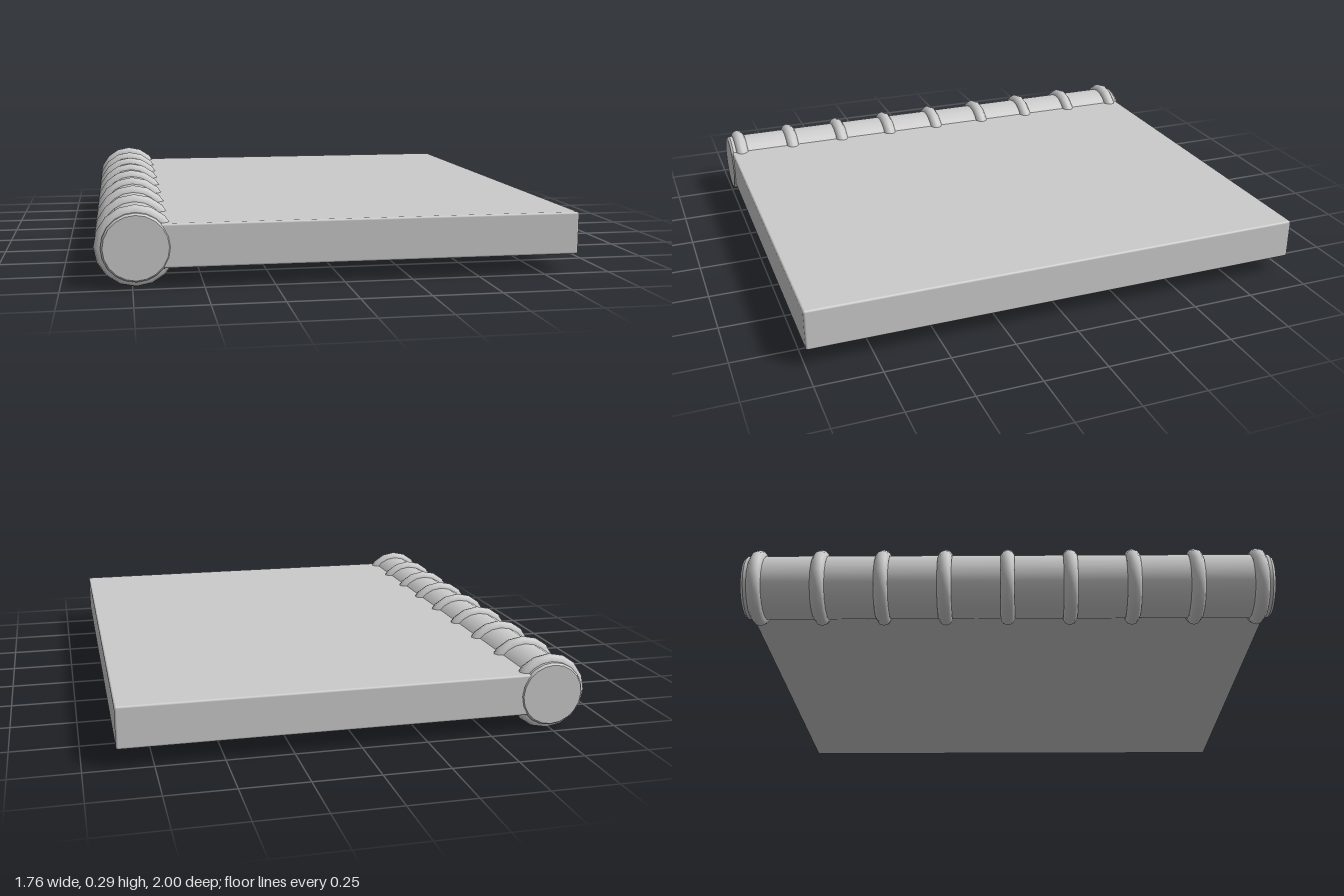
import * as THREE from 'three';
import { RoundedBoxGeometry } from 'three/addons/geometries/RoundedBoxGeometry.js';

export function createModel() {
  const model = new THREE.Group();
  model.name = 'book';
  const material = new THREE.MeshStandardMaterial({ color: 0xcccccc });
  const add = (name, geometry, x, y, z) => {
    const mesh = new THREE.Mesh(geometry, material);
    mesh.name = name;
    mesh.position.set(x, y, z);
    model.add(mesh);
    return mesh;
  };
  const spineX = -0.736, spineY = 0.15;

  // Closed cover and page block, with softened edges
  const left = -0.74, right = 0.88, bottom = 0.074, top = 0.232;
  add('cover', new RoundedBoxGeometry(right - left, top - bottom, 1.99, 2, 0.008),
    (left + right) / 2, (bottom + top) / 2, 0);

  // Round spine along the hinge side
  const spine = new THREE.CylinderGeometry(0.122, 0.122, 1.98, 20);
  spine.rotateX(Math.PI / 2);
  add('spine', spine, spineX, spineY, 0);

  // Slightly bevelled spine ends
  for (const side of [-1, 1]) {
    const cap = new THREE.CylinderGeometry(0.115, 0.122, 0.01, 20);
    cap.rotateX(side * Math.PI / 2);
    add('spineEnd', cap, spineX, spineY, side * 0.995);
  }

  // Nine raised bands around the spine
  for (let i = -4; i <= 4; i++) {
    add('spineBand', new THREE.TorusGeometry(0.118, 0.028, 10, 16),
      spineX, spineY, i * 0.2375);
  }

  return model;
}
